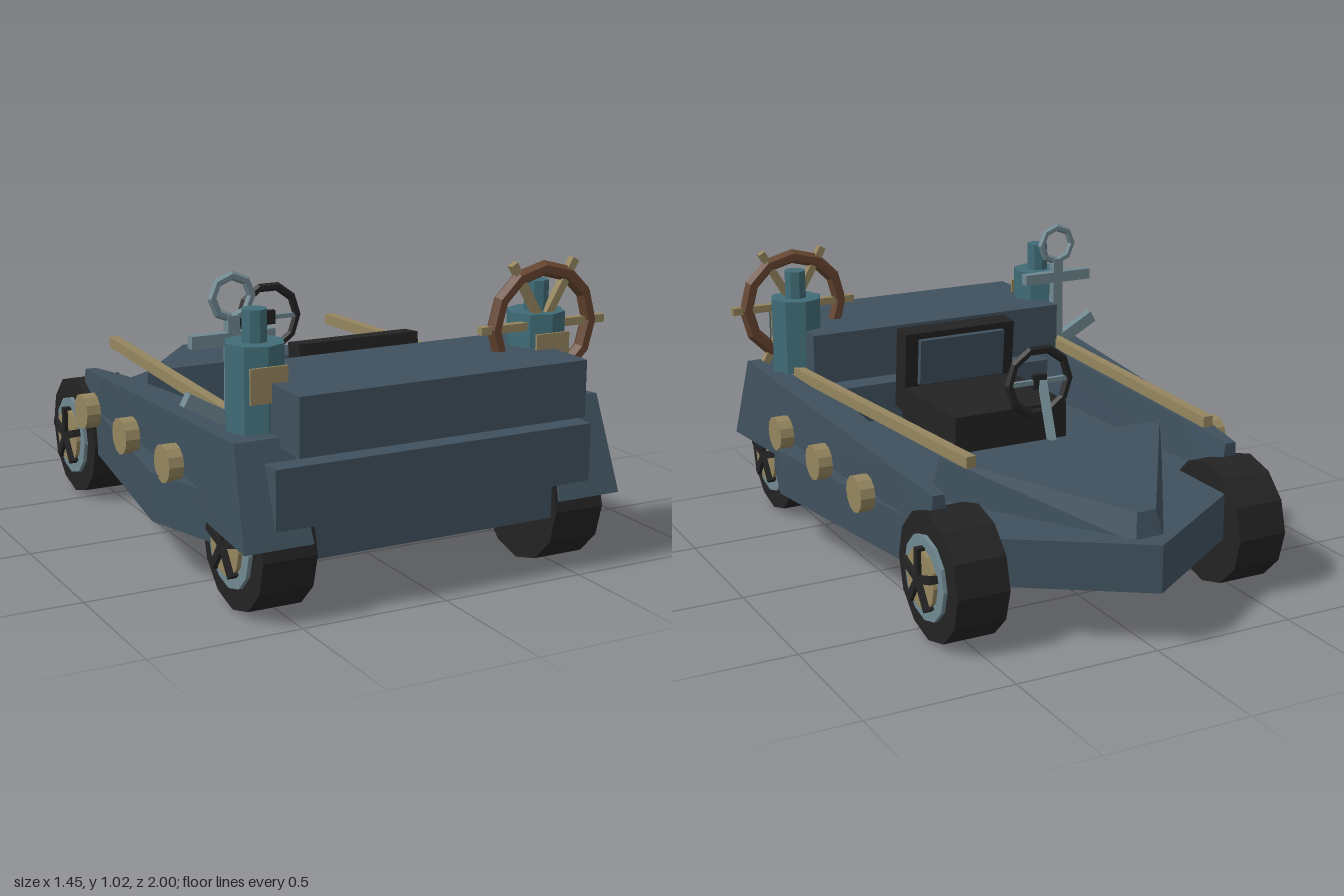
import * as THREE from 'three';
import { ConvexGeometry } from 'three/addons/geometries/ConvexGeometry.js';

const mat = (name, color) => {
  const m = new THREE.MeshStandardMaterial({ color });
  m.name = name;
  return m;
};

export function createModel() {
  const model = new THREE.Group();
  model.name = 'amphibiousCar';
  const hullBlue = mat('hullBlue', 0x3f515e);
  const black = mat('rubberBlack', 0x232323);
  const teal = mat('teal', 0x416c77);
  const steel = mat('paleSteel', 0x708891);
  const brass = mat('brass', 0x95865f);
  const wood = mat('brownWood', 0x65442f);

  // car body is offset slightly sideways
  const car = new THREE.Group();
  car.name = 'car';
  car.position.x = -0.01;
  model.add(car);

  // faceted mesh helper
  const add = (name, geo, material, x = 0, y = 0, z = 0, parent = car) => {
    const g = geo.index ? geo.toNonIndexed() : geo;
    g.computeVertexNormals();
    const mesh = new THREE.Mesh(g, material);
    mesh.name = name;
    mesh.position.set(x, y, z);
    parent.add(mesh);
    return mesh;
  };
  const box = (w, h, d) => new THREE.BoxGeometry(w, h, d);
  const solid = (pts) => new ConvexGeometry(pts.map((p) => new THREE.Vector3(...p)));
  // square bar between two points
  const bar = (name, a, b, w, h, material, parent = car) => {
    const p = new THREE.Vector3(...a), q = new THREE.Vector3(...b);
    const mesh = add(name, box(w, h, p.distanceTo(q)), material, 0, 0, 0, parent);
    mesh.position.copy(p).add(q).multiplyScalar(0.5);
    mesh.lookAt(q);
    return mesh;
  };

  // lower hull: pointed plan, vertical sides
  const half = [[0.56, -0.62], [0.715, 0.4], [0.55, 0.95]];
  const plan = [[0, -1], ...half, ...half.map(([x, z]) => [-x, z]).reverse()];
  const shape = new THREE.Shape(plan.map(([x, z]) => new THREE.Vector2(x, z)));
  const hullGeo = new THREE.ExtrudeGeometry(shape, { depth: 0.16, bevelEnabled: false });
  hullGeo.rotateX(Math.PI / 2);
  add('hull', hullGeo, hullBlue, 0, 0.35, 0);

  // bow deck
  const deck = [];
  for (const s of [-1, 1]) {
    deck.push([s * 0.05, 0.34, -0.925], [s * 0.455, 0.34, -0.285],
      [s * 0.035, 0.43, -0.9], [s * 0.425, 0.495, -0.31]);
  }
  add('bowDeck', solid(deck), hullBlue);

  // stern boxes
  add('sternLocker', box(1.01, 0.185, 0.45), hullBlue, 0.005, 0.6175, 0.775);
  add('sternPanel', box(1.12, 0.19, 0.4), hullBlue, 0, 0.395, 0.765);

  for (const s of [-1, 1]) {
    const side = s > 0 ? 'left' : 'right';
    // tapered side bulwark
    add(side + 'Bulwark', solid([
      [s * 0.67, 0.25, 0.98], [s * 0.44, 0.25, 0.98],
      [s * 0.65, 0.557, 0.87], [s * 0.46, 0.557, 0.87],
      [s * 0.595, 0.49, -0.3], [s * 0.515, 0.49, -0.3],
      [s * 0.57, 0.465, -0.56], [s * 0.53, 0.465, -0.56],
      [s * 0.58, 0.3, -0.56], [s * 0.51, 0.3, -0.56],
    ]), hullBlue);

    // rail along the cockpit
    bar(side + 'Rail', [s * 0.445, 0.555, -0.56], [s * 0.535, 0.555, 0.76], 0.035, 0.038, brass);

    // round side caps
    for (const z of [0.46, 0.105, -0.25]) {
      const g = new THREE.CylinderGeometry(0.062, 0.062, 0.05, 12);
      g.rotateZ(Math.PI / 2);
      add(side + 'SideCap', g, brass, s * 0.68, 0.395, z);
    }

    // canisters on the stern
    const can = new THREE.Group();
    can.name = side + 'Canister';
    can.position.set(s * 0.507, 0, 0.72);
    car.add(can);
    add('canisterBody', new THREE.CylinderGeometry(0.095, 0.095, 0.27, 8), teal, 0, 0.685, 0, can);
    add('canisterNeck', new THREE.CylinderGeometry(0.04, 0.04, 0.1, 8), teal, 0, 0.87, 0, can);
    add('canisterPlate', box(0.125, 0.11, 0.009), brass, 0, 0.705, 0.097, can);

    // wheels
    for (const z of [-0.595, 0.765]) {
      const wheel = new THREE.Group();
      wheel.name = side + (z < 0 ? 'BowWheel' : 'SternWheel');
      wheel.position.set(s * 0.518, 0.214, z);
      wheel.rotation.y = s * Math.PI / 2;
      car.add(wheel);
      const disc = (name, r, depth, front, m, n) => {
        const g = new THREE.CylinderGeometry(r, r, depth, n);
        g.rotateX(Math.PI / 2);
        add(name, g, m, 0, 0, front - depth / 2, wheel);
      };
      disc('tyre', 0.214, 0.18, 0.09, black, 12);
      disc('rim', 0.142, 0.05, 0.103, steel, 12);
      disc('hubDisc', 0.1, 0.05, 0.117, brass, 12);
      for (let i = 0; i < 5; i++) {
        const a = Math.PI / 2 + (i * Math.PI * 2) / 5;
        const spoke = add('wheelSpoke', box(0.108, 0.026, 0.03), black,
          Math.cos(a) * 0.052, Math.sin(a) * 0.052, 0.116, wheel);
        spoke.rotation.z = a;
      }
    }
  }

  // seat
  add('seatBase', box(0.44, 0.17, 0.44), black, 0, 0.43, 0.205);
  const back = add('seatBack', box(0.44, 0.3, 0.08), black, 0, 0.572, 0.432);
  const pad = add('seatPad', box(0.34, 0.17, 0.03), hullBlue, 0, 0.61, 0.382);
  back.rotation.x = pad.rotation.x = -0.09;

  // steering
  add('steeringWheel', new THREE.TorusGeometry(0.115, 0.016, 6, 10), black, 0, 0.668, -0.21);
  add('steeringHub', box(0.05, 0.05, 0.02), black, 0, 0.668, -0.21);
  bar('steeringColumn', [0, 0.67, -0.215], [0, 0.46, -0.33], 0.026, 0.026, steel);
  bar('steeringCrossbar', [-0.11, 0.668, -0.21], [0.11, 0.668, -0.21], 0.016, 0.016, steel);

  // ship's helm
  const helm = new THREE.Group();
  helm.name = 'helm';
  helm.position.set(0.49, 0.78, 0.765);
  model.add(helm);
  add('helmRing', new THREE.TorusGeometry(0.183, 0.026, 6, 12), wood, 0, 0, 0, helm);
  for (let i = 0; i < 3; i++) {
    add('helmSpoke', box(0.475, 0.026, 0.026), brass, 0, 0, 0, helm).rotation.z = (i * Math.PI) / 3;
  }

  // anchor
  const anchor = new THREE.Group();
  anchor.name = 'anchor';
  anchor.position.set(-0.537, 0, 0.605);
  model.add(anchor);
  add('anchorRing', new THREE.TorusGeometry(0.066, 0.015, 6, 8), steel, 0, 0.935, 0, anchor);
  add('anchorShank', box(0.04, 0.34, 0.035), steel, 0, 0.71, 0, anchor);
  add('anchorStock', box(0.28, 0.04, 0.035), steel, 0, 0.808, 0, anchor);
  for (const s of [-1, 1]) {
    add('anchorArm', box(0.18, 0.045, 0.035), steel, s * 0.08, 0.594, 0, anchor).rotation.z = s * 0.5;
  }
  for (const s of [-1, 1]) anchor.children[s < 0 ? 3 : 4].position.y = 0.59;

  // turn the -x arm so both flukes point upward
  return model;
}
